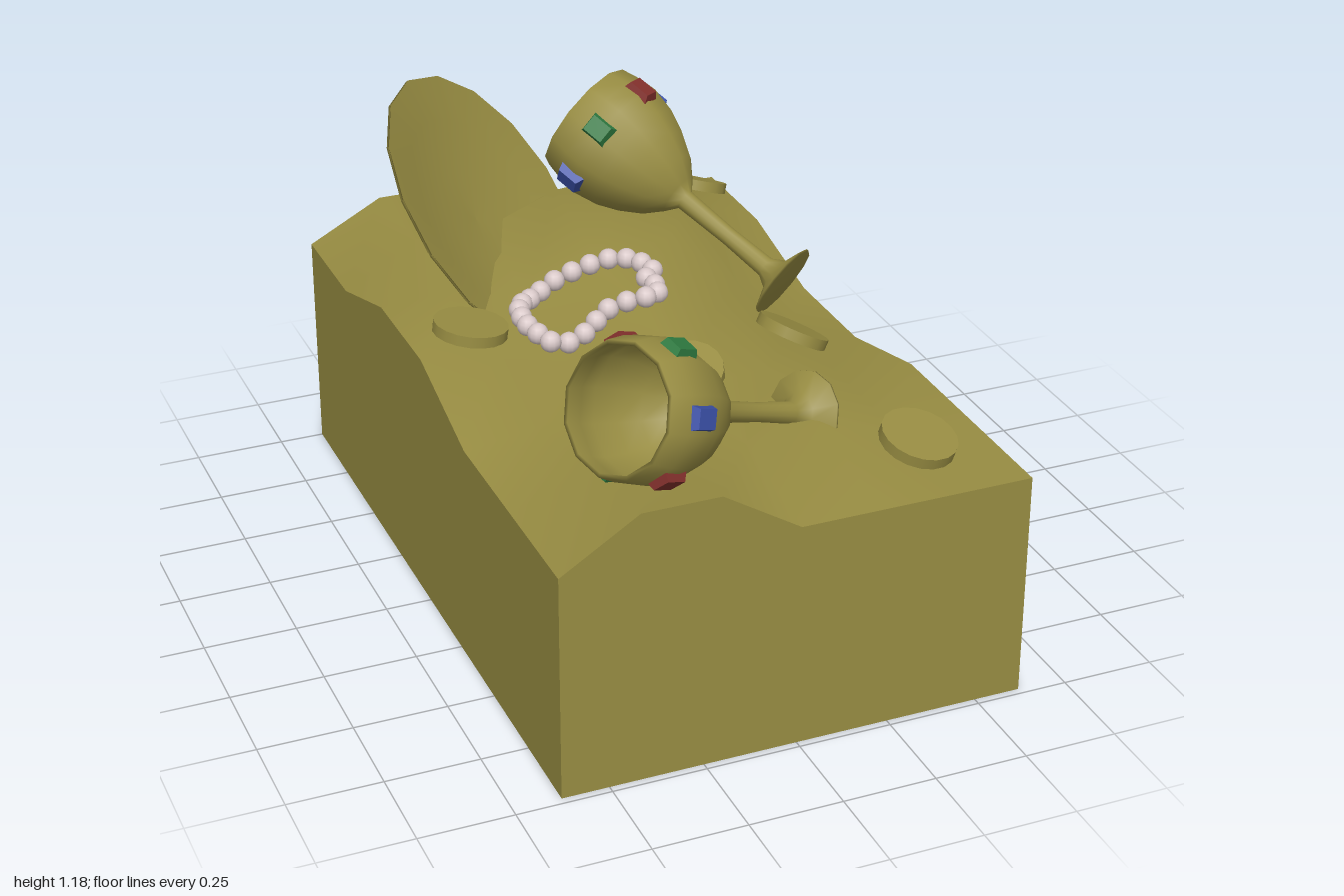
import * as THREE from 'three';

const V = (x, y, z) => new THREE.Vector3(x, y, z);
const paint = (color, extra = {}) => new THREE.MeshStandardMaterial({ color, ...extra });
const gold = paint(0x978c42, { side: THREE.DoubleSide });
const goldFlat = paint(0x978c42, { flatShading: true });
const pearl = paint(0xd8c8c8);
const gemPaints = [0x2e7a40, 0x3a4fa5, 0x82302c].map(c => paint(c, { flatShading: true })); // green, blue, red

// Heap heights: rows run back to front, columns right to left of the model (-x to +x)
const W = 1.25, D = 1.98, ZC = -0.01, N = 6;
const heights = [
  [.62, .73, .73, .62, .62, .62, .62],
  [.62, .74, .74, .82, .84, .72, .62],
  [.72, .73, .67, .74, .78, .60, .545],
  [.72, .72, .67, .75, .72, .59, .545],
  [.62, .65, .66, .68, .69, .63, .62],
  [.62, .69, .69, .68, .69, .63, .62],
  [.62, .75, .75, .62, .62, .62, .62],
];

function heightAt(x, z) {
  const u = THREE.MathUtils.clamp((x / W + 0.5) * N, 0, N);
  const v = THREE.MathUtils.clamp(((z - ZC) / D + 0.5) * N, 0, N);
  const i = Math.min(N - 1, Math.floor(u + 1e-6)), j = Math.min(N - 1, Math.floor(v + 1e-6));
  const lerp = THREE.MathUtils.lerp;
  return lerp(lerp(heights[j][i], heights[j][i + 1], u - i),
    lerp(heights[j + 1][i], heights[j + 1][i + 1], u - i), v - j);
}

function add(parent, name, geometry, material) {
  const mesh = new THREE.Mesh(geometry, material);
  mesh.name = name;
  parent.add(mesh);
  return mesh;
}

const lathe = (points, sides) =>
  new THREE.LatheGeometry(points.map(p => new THREE.Vector2(...p)), sides);

// Turn an object's y axis to a direction
const aim = (object, dir) => object.quaternion.setFromUnitVectors(V(0, 1, 0), dir.clone().normalize());

// Block of gold with a wavy top
function makeHeap() {
  const geo = new THREE.BoxGeometry(W, 1, D, N, 1, N).translate(0, 0, ZC);
  const p = geo.attributes.position;
  for (let k = 0; k < p.count; k++) {
    p.setY(k, p.getY(k) > 0 ? heightAt(p.getX(k), p.getZ(k)) : 0);
  }
  geo.computeVertexNormals();
  return geo;
}

// Goblet with six gems, local y runs from foot to rim
const gobletProfile = [
  [0, 0], [.11, 0], [.11, .006], [.05, .03], [.029, .065], [.025, .2], [.029, .36],
  [.06, .385], [.105, .43], [.142, .49], [.168, .55], [.183, .62], [.18, .67], [.168, .73],
  [.157, .73], [.169, .67], [.171, .62], [.156, .55], [.13, .49], [.093, .44], [.05, .405], [0, .395],
];

function makeGoblet(foot, dir, firstGem, twist) {
  const g = new THREE.Group();
  g.name = 'goblet';
  add(g, 'cup', lathe(gobletProfile, 12), gold);
  const gemGeo = new THREE.CylinderGeometry(.036, .046, .024, 4).rotateY(Math.PI / 4);
  for (let k = 0; k < 6; k++) {
    const arm = new THREE.Group();
    arm.name = 'gemSetting';
    arm.rotation.y = -(k * Math.PI / 3 + twist);
    const gem = add(arm, 'gem', gemGeo, gemPaints[(firstGem + k) % 3]);
    gem.position.set(.182, .63, 0);
    gem.rotation.z = -Math.PI / 2;
    gem.scale.set(1.2, 1, .95);
    g.add(arm);
  }
  // local x points up the side of the bowl that faces the sky
  const y = dir.clone().normalize();
  const x = V(0, 1, 0).addScaledVector(y, -y.y).normalize();
  const z = x.clone().cross(y);
  g.quaternion.setFromRotationMatrix(new THREE.Matrix4().makeBasis(x, y, z));
  g.position.copy(foot);
  return g;
}

// Dished plate with a foot ring underneath
function makePlate() {
  const g = new THREE.Group();
  g.name = 'plate';
  add(g, 'dish', lathe([[0, -.06], [.14, -.056], [.3, -.032], [.42, 0], [.42, .008],
    [.3, -.02], [.14, -.045], [0, -.05]], 16), gold);
  const ring = add(g, 'footRing', new THREE.TorusGeometry(.15, .011, 6, 20), gold);
  ring.rotation.x = Math.PI / 2;
  ring.position.y = -.06;
  g.position.set(-.23, .836, -.577);
  aim(g, V(.64, .6, .48));
  return g;
}

// Closed string of pearls lying on the heap
function makeNecklace() {
  const g = new THREE.Group();
  g.name = 'necklace';
  const path = new THREE.CatmullRomCurve3([
    [-.27, 0], [-.17, -.01], [-.08, -.06], [.02, -.03], [.07, -.08], [.05, -.13], [.09, -.17],
    [.06, -.26], [0, -.3], [-.14, -.32], [-.22, -.28], [-.28, -.21], [-.3, -.11], [-.29, -.05],
  ].map(([x, z]) => V(x, 0, z)), true);
  const bead = new THREE.SphereGeometry(.029, 12, 8), count = 24;
  for (let k = 0; k < count; k++) {
    const m = add(g, 'pearl', bead, pearl);
    m.position.copy(path.getPointAt(k / count));
    m.position.y = heightAt(m.position.x, m.position.z) + .025;
  }
  return g;
}

// Finger ring with a small stone
function makeRing(position, tilt) {
  const g = new THREE.Group();
  g.name = 'ring';
  add(g, 'band', new THREE.TorusGeometry(.038, .005, 6, 16), gold);
  const stone = add(g, 'stone', new THREE.OctahedronGeometry(.012), goldFlat);
  stone.position.set(-.03, -.03, 0);
  g.position.copy(position);
  g.rotation.set(...tilt);
  return g;
}

export function createModel() {
  const model = new THREE.Group();
  model.name = 'treasureHeap';
  add(model, 'heap', makeHeap(), gold);

  model.add(
    makeGoblet(V(.46, .69, -.13), V(-.51, .47, -.72), 2, -.1),
    makeGoblet(V(.2, .68, .56), V(-.84, .37, .375), 0, .3),
    makePlate(),
    makeNecklace(),
    makeRing(V(-.285, heightAt(-.285, .4) + .012, .4), [-1.5, .05, 0]),
    makeRing(V(.455, heightAt(.455, -.53) - .038, -.53), [.2, .5, 0]),
  );

  // Loose coins: position, then the direction each face points
  const coinGeo = new THREE.CylinderGeometry(.1, .1, .03, 18);
  const coins = [
    [V(.51, .67, -.88), V(.3, .92, -.25)],
    [V(-.46, .745, -.09), V(.15, .97, 0)],
    [V(.4, .64, .06), V(.47, .87, -.12)],
    [V(0, .69, .27), V(-.27, .91, .32)],
    [V(.41, .675, .78), V(.15, .93, .25)],
  ];
  for (const [position, normal] of coins) {
    const coin = add(model, 'coin', coinGeo, gold);
    coin.position.copy(position);
    aim(coin, normal);
  }
  return model;
}
